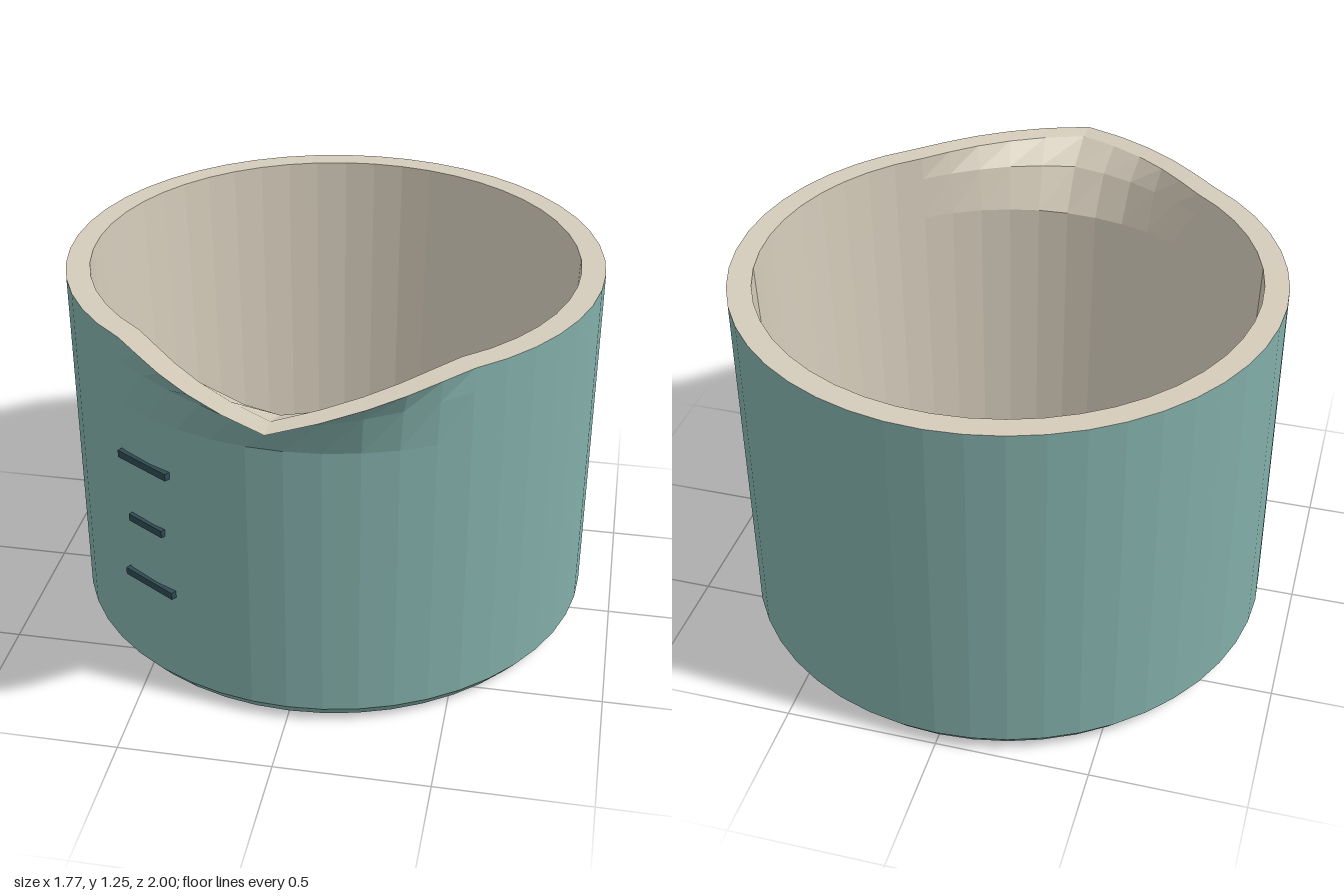
import * as THREE from 'three';

const SEGMENTS = 48;
const HEIGHT = 1.245;
const CENTER_Z = -0.116;
const OUTER = 0.884;
const SPOUT_BASE = 1.012;
const SPOUT_MID = 1.165;
const SPOUT_ANGLE = THREE.MathUtils.degToRad(37.5);

// Point on the cup wall; near the front and the rim it is pulled out into the spout.
function wallPoint(radius, y, angle) {
  const side = Math.max(0, 1 - Math.abs(angle) / SPOUT_ANGLE) ** 1.35;
  const rise = Math.max(0, (y - SPOUT_BASE) / (HEIGHT - SPOUT_BASE)) ** 2;
  const pull = side * rise;
  const r = radius + 0.232 * pull;
  return [r * Math.sin(angle), y - 0.042 * pull, r * Math.cos(angle)];
}

// Faceted surface swept round the cup through a profile of [radius, y] rows.
function sweep(name, profile, material) {
  const positions = [];
  const step = (Math.PI * 2) / SEGMENTS;
  for (let j = 0; j < profile.length - 1; j++) {
    for (let i = 0; i < SEGMENTS; i++) {
      const a0 = (i - SEGMENTS / 2) * step;
      const a1 = a0 + step;
      const a = wallPoint(...profile[j], a0);
      const b = wallPoint(...profile[j], a1);
      const c = wallPoint(...profile[j + 1], a1);
      const d = wallPoint(...profile[j + 1], a0);
      if (profile[j][0] > 0) positions.push(...a, ...b, ...c);
      if (profile[j + 1][0] > 0) positions.push(...a, ...c, ...d);
      else if (profile[j][0] <= 0) continue;
    }
  }
  const geometry = new THREE.BufferGeometry();
  geometry.setAttribute('position', new THREE.Float32BufferAttribute(positions, 3));
  geometry.computeVertexNormals();
  const mesh = new THREE.Mesh(geometry, material);
  mesh.name = name;
  return mesh;
}

export function createModel() {
  const teal = new THREE.MeshStandardMaterial({ color: 0x82aea9 });
  teal.name = 'teal glaze';
  const cream = new THREE.MeshStandardMaterial({ color: 0xd4cbba });
  cream.name = 'cream lining';
  const dark = new THREE.MeshStandardMaterial({ color: 0x2f4a52 });
  dark.name = 'dark slate';

  const cup = new THREE.Group();
  cup.name = 'measuringCup';
  cup.position.z = CENTER_Z;

  // Inner wall narrows slightly towards the floor
  const floorY = 0.08;
  const rimInner = 0.806;
  const floorInner = 0.768;
  const inner = (y) => [
    THREE.MathUtils.mapLinear(y, floorY, HEIGHT, floorInner, rimInner), y,
  ];

  cup.add(
    // Underside, chamfered foot, outer wall and outside of the spout
    sweep('outerShell', [
      [0, 0], [0.843, 0], [OUTER, 0.05],
      [OUTER, SPOUT_BASE], [OUTER, SPOUT_MID], [OUTER, HEIGHT],
    ], teal),
    sweep('rim', [[OUTER, HEIGHT], [rimInner, HEIGHT]], cream),
    sweep('innerLining', [
      inner(HEIGHT), inner(SPOUT_MID), inner(SPOUT_BASE), inner(floorY), [0, floorY],
    ], cream),
  );

  // Measuring marks on the wall, beside the spout
  const marks = new THREE.Group();
  marks.name = 'measuringMarks';
  marks.rotation.y = THREE.MathUtils.degToRad(-32);
  [[0.387, 0.215], [0.61, 0.15], [0.834, 0.215]].forEach(([y, length], i) => {
    const mark = new THREE.Mesh(new THREE.BoxGeometry(length, 0.025, 0.03), dark);
    mark.name = `measuringMark${i + 1}`;
    mark.position.set(0, y, 0.88);
    marks.add(mark);
  });
  cup.add(marks);

  const model = new THREE.Group();
  model.name = 'pouringCup';
  model.add(cup);
  return model;
}
